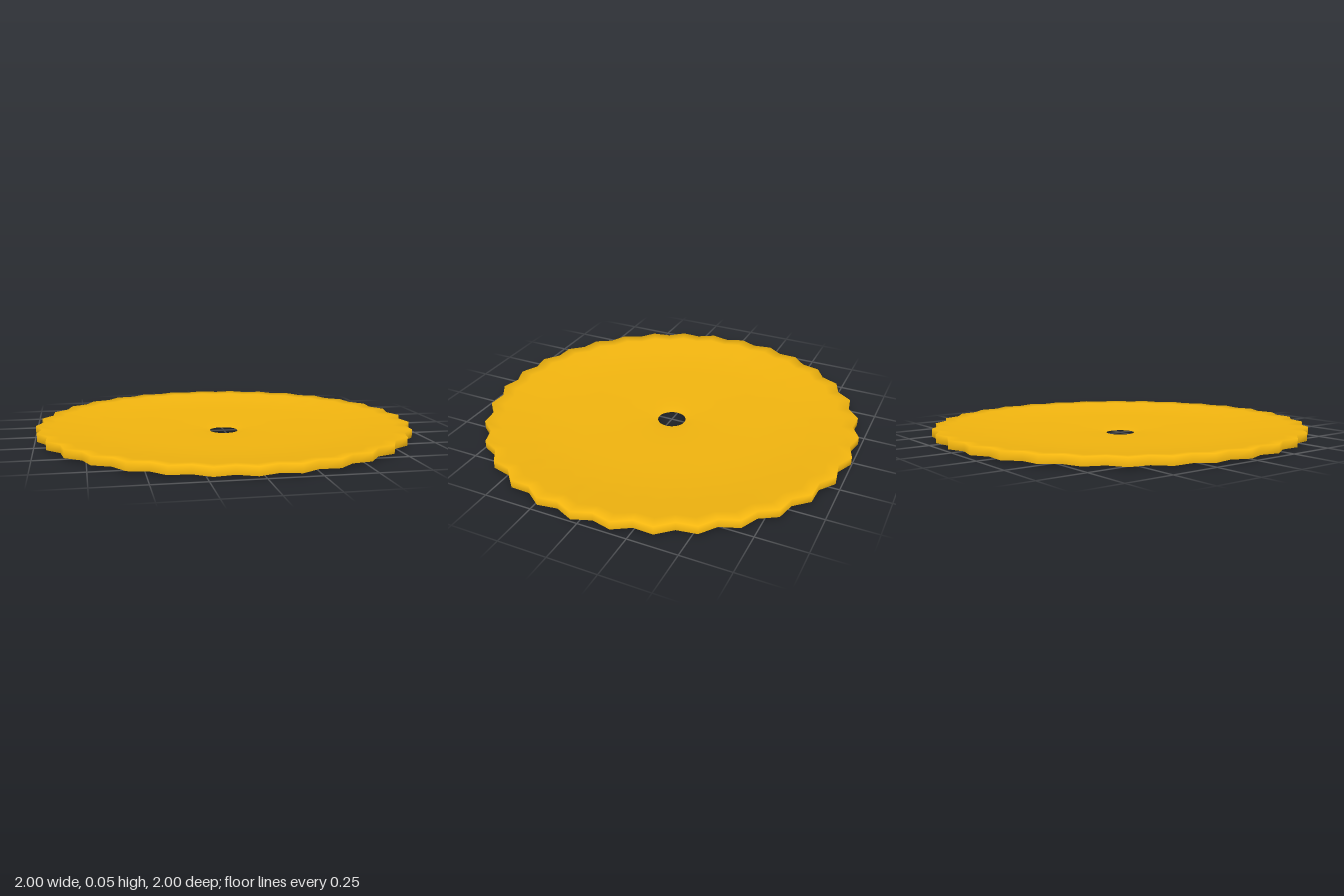
import * as THREE from 'three';

const TEETH = 32;
const STEPS = TEETH * 2;
const TIP_OFFSET = 0.035; // radians the first tip is turned from the back

// Radius, height and how strongly the ring follows the toothed outline
const PROFILE = [
  [0.075, 0.0, 0],
  [0.14, 0.01, 0],
  [0.3, 0.014, 0],
  [0.5, 0.019, 0],
  [0.65, 0.024, 0],
  [0.8, 0.036, 0.3],
  [0.93, 0.05, 0.9],
  [1.0, 0.055, 1],
  [1.0, 0.012, 1],
];

// Shallow dish swept ring by ring, ending in a toothed skirt
function dishGeometry() {
  const positions = [];
  const indices = [];
  for (const [radius, y, toothed] of PROFILE) {
    for (let i = 0; i < STEPS; i++) {
      const a = TIP_OFFSET + (i / STEPS) * Math.PI * 2;
      const r = radius * (i % 2 ? 1 - 0.034 * toothed : 1);
      positions.push(Math.sin(a) * r, y, -Math.cos(a) * r);
    }
  }
  for (let j = 0; j < PROFILE.length - 1; j++) {
    for (let i = 0; i < STEPS; i++) {
      const next = (i + 1) % STEPS;
      const a = j * STEPS + i, d = j * STEPS + next;
      const b = a + STEPS, c = d + STEPS;
      indices.push(a, c, b, a, d, c);
    }
  }
  const geometry = new THREE.BufferGeometry();
  geometry.setAttribute('position', new THREE.Float32BufferAttribute(positions, 3));
  geometry.setIndex(indices);
  geometry.computeVertexNormals();
  return geometry;
}

export function createModel() {
  const group = new THREE.Group();
  group.name = 'toothedDisc';
  const material = new THREE.MeshStandardMaterial({ color: 0xf2b50f, side: THREE.DoubleSide });
  const disc = new THREE.Mesh(dishGeometry(), material);
  disc.name = 'dishedDisc';
  group.add(disc);
  return group;
}
